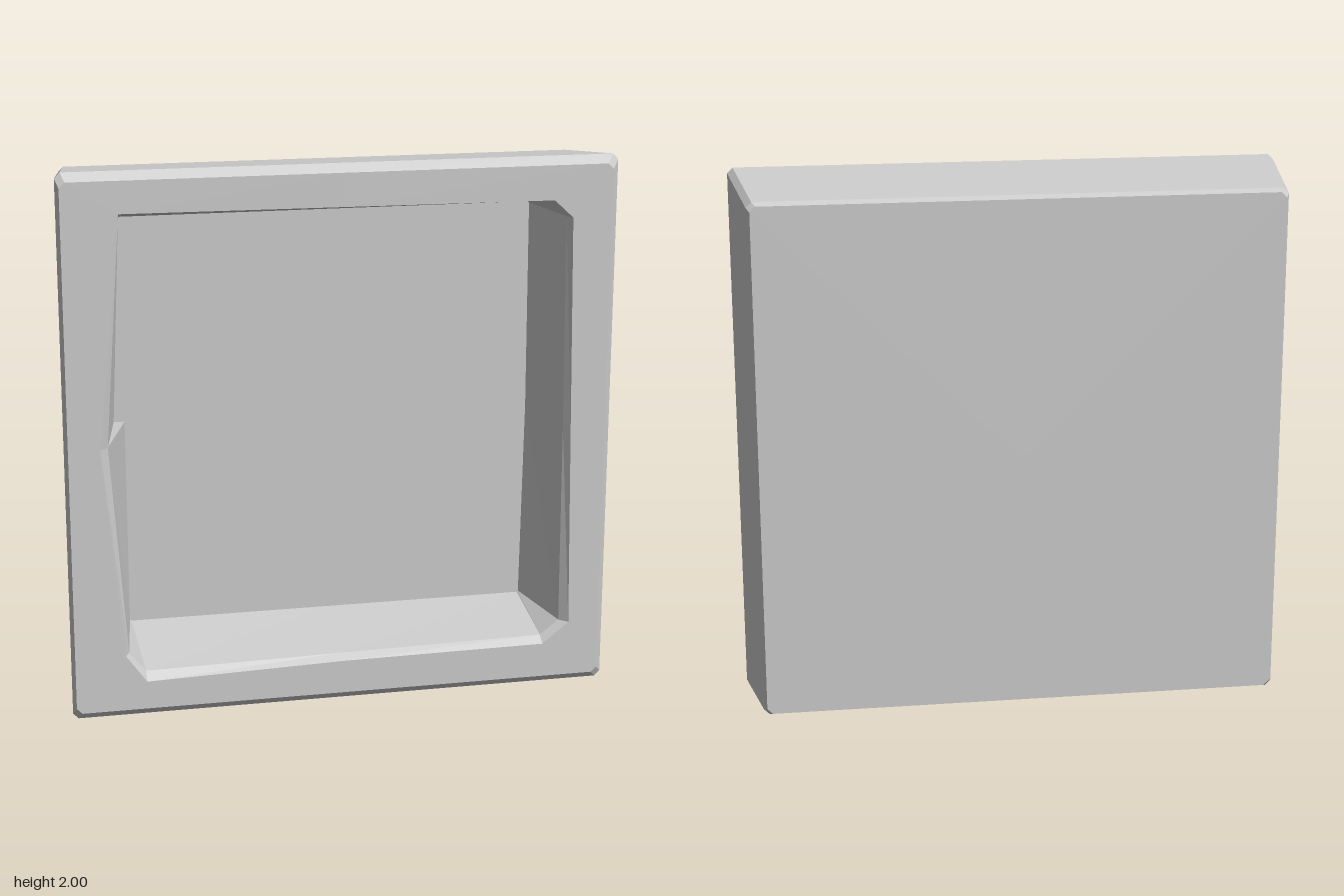
import * as THREE from 'three';

// Outline of 13 stations, counter-clockwise from the bottom middle.
// l, r, lo, hi: the four sides; c: corner cut
function outerRing(l, r, lo, hi, c, z) {
  return [
    [0, lo], [r - c, lo], [r, lo + c], [r, 1], [r, hi - c], [r - c, hi], [0, hi],
    [l + c, hi], [l, hi - c], [l, 1.03], [l, 1.01], [l, lo + c], [l + c, lo],
  ].map(([x, y]) => [x, y, z]);
}

const atDepth = (points, z) => points.map(([x, y]) => [x, y, z]);

function meshFrom(name, positions, material) {
  const geometry = new THREE.BufferGeometry();
  geometry.setAttribute('position', new THREE.Float32BufferAttribute(positions, 3));
  geometry.computeVertexNormals();
  const mesh = new THREE.Mesh(geometry, material);
  mesh.name = name;
  return mesh;
}

// Skin consecutive rings with quads
function loft(rings) {
  const out = [];
  for (let r = 0; r < rings.length - 1; r++) {
    const a = rings[r], b = rings[r + 1];
    for (let i = 0; i < a.length; i++) {
      const j = (i + 1) % a.length;
      out.push(...a[i], ...a[j], ...b[j], ...a[i], ...b[j], ...b[i]);
    }
  }
  return out;
}

// Close a ring with a fan around its middle
function cap(ring, flip) {
  const out = [], centre = [0, 1, ring[0][2]];
  ring.forEach((p, i) => {
    const q = ring[(i + 1) % ring.length];
    out.push(...centre, ...(flip ? q : p), ...(flip ? p : q));
  });
  return out;
}

export function createModel() {
  const group = new THREE.Group();
  group.name = 'shallowTray';
  const material = new THREE.MeshStandardMaterial({ color: 0xcccccc, flatShading: true });

  // Irregular opening: lip at the front, a small bevel, then the floor outline
  const lip = atDepth([
    [0, 0.155], [0.76, 0.16], [0.86, 0.24], [0.845, 1], [0.83, 1.78], [0.76, 1.845], [0, 1.85],
    [-0.79, 1.855], [-0.795, 1.78], [-0.875, 1.02], [-0.875, 1.02], [-0.805, 0.24], [-0.73, 0.135],
  ], 0.226);
  const bevel = atDepth([
    [0, 0.175], [0.76, 0.185], [0.83, 0.24], [0.825, 1], [0.815, 1.78], [0.76, 1.84], [0, 1.845],
    [-0.79, 1.85], [-0.79, 1.78], [-0.845, 1.02], [-0.845, 1.02], [-0.79, 0.24], [-0.73, 0.165],
  ], 0.195);
  const floor = atDepth([
    [0, 0.24], [0.76, 0.24], [0.765, 0.245], [0.775, 1], [0.77, 1.775], [0.765, 1.78], [0, 1.78],
    [-0.785, 1.78], [-0.79, 1.775], [-0.79, 1.02], [-0.75, 1.02], [-0.75, 0.245], [-0.745, 0.24],
  ], -0.12);

  // Tapered outside with bevelled edges, widest near the front
  const back = outerRing(-0.943, 0.935, 0.062, 1.94, 0.02, -0.228);
  const outside = [
    back,
    outerRing(-0.955, 0.947, 0.052, 1.952, 0.02, -0.205),
    outerRing(-1, 1, 0, 2, 0.02, 0.195),
    outerRing(-0.988, 0.975, 0.03, 1.97, 0.02, 0.226),
  ];

  group.add(meshFrom('frame', loft([...outside, lip, bevel, floor]), material));
  group.add(meshFrom('trayFloor', cap(floor, false), material));
  group.add(meshFrom('backPanel', cap(back, true), material));
  return group;
}
